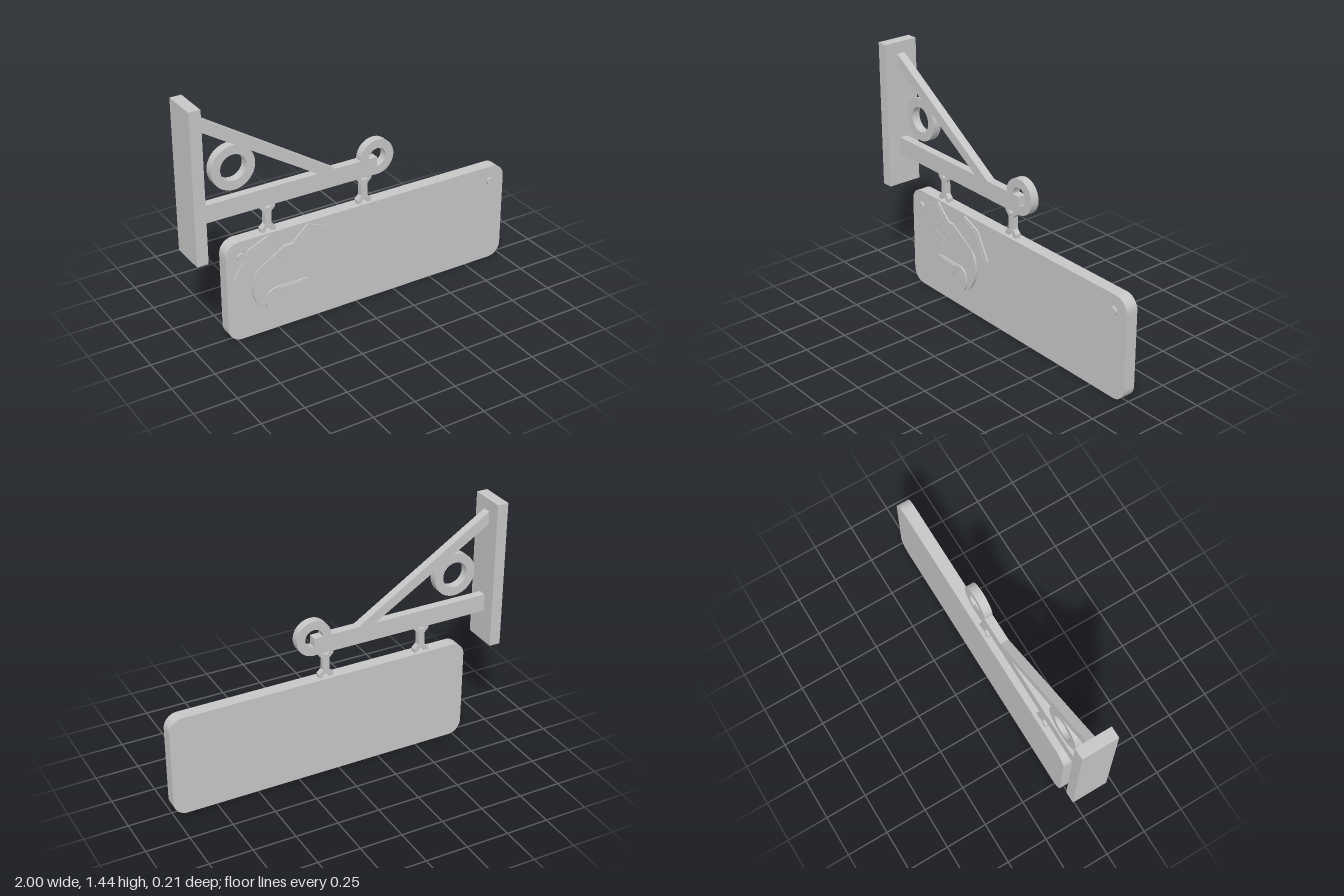
import * as THREE from 'three';

const BOARD_FRONT = 0.037;

// Closed outline from a list of corner points
const outline = (pts) => new THREE.Shape(pts.map(([x, y]) => new THREE.Vector2(x, y)));

function roundedRect(x0, y0, x1, y1, r) {
  const s = new THREE.Shape();
  s.absarc(x1 - r, y0 + r, r, -Math.PI / 2, 0, false);
  s.absarc(x1 - r, y1 - r, r, 0, Math.PI / 2, false);
  s.absarc(x0 + r, y1 - r, r, Math.PI / 2, Math.PI, false);
  s.absarc(x0 + r, y0 + r, r, Math.PI, Math.PI * 1.5, false);
  s.closePath();
  return s;
}

// Regular polygon ring; many sides make a round one
function ringShape(outer, inner, sides) {
  const loop = (r) => Array.from({ length: sides }, (_, i) => {
    const a = ((i + 0.5) / sides) * Math.PI * 2;
    return new THREE.Vector2(Math.cos(a) * r, Math.sin(a) * r);
  });
  const s = new THREE.Shape(loop(outer));
  s.holes.push(new THREE.Path(loop(inner).reverse()));
  return s;
}

export function createModel() {
  const model = new THREE.Group();
  model.name = 'hangingSign';
  const grey = new THREE.MeshStandardMaterial({ color: 0xc6c6c6 });
  grey.name = 'light grey';

  const add = (name, geometry, parent = model) => {
    const mesh = new THREE.Mesh(geometry, grey);
    mesh.name = name;
    parent.add(mesh);
    return mesh;
  };
  const slab = (name, shape, z0, z1, parent = model) => {
    const geo = new THREE.ExtrudeGeometry(shape, { depth: z1 - z0, bevelEnabled: false, curveSegments: 12 });
    geo.translate(0, 0, z0);
    return add(name, geo, parent);
  };
  const box = (name, x0, x1, y0, y1, halfDepth, parent = model) => {
    const geo = new THREE.BoxGeometry(x1 - x0, y1 - y0, halfDepth * 2);
    geo.translate((x0 + x1) / 2, (y0 + y1) / 2, 0);
    return add(name, geo, parent);
  };

  // Wall bracket
  const bracket = new THREE.Group();
  bracket.name = 'bracket';
  model.add(bracket);
  box('wallPlate', -1, -0.934, 0.573, 1.445, 0.105, bracket);
  box('beam', -0.934, 0.142, 0.762, 0.865, 0.025, bracket);
  slab('brace', outline([[-0.934, 1.3], [-0.232, 0.865], [-0.125, 0.865], [-0.934, 1.376]]), -0.025, 0.025, bracket);
  slab('braceRing', ringShape(0.127, 0.075, 40), -0.025, 0.025, bracket).position.set(-0.73, 1.038, 0);
  slab('endRing', ringShape(0.104, 0.053, 40), -0.025, 0.025, bracket).position.set(0.142, 0.865, 0);

  // Two hangers, each a short bar with an eye at both ends
  for (const x of [-0.533, 0.066]) {
    const hanger = new THREE.Group();
    hanger.name = 'hanger';
    hanger.position.x = x;
    model.add(hanger);
    box('hangerBar', -0.019, 0.019, 0.635, 0.732, 0.017, hanger);
    for (const y of [0.605, 0.762]) {
      slab('hangerEye', ringShape(0.047, 0.021, 8), -0.017, 0.017, hanger).position.y = y;
    }
  }

  // Sign board and its two pegs
  slab('board', roundedRect(-0.803, 0, 1, 0.603, 0.08), -0.037, BOARD_FRONT);
  for (const x of [-0.715, 0.908]) {
    const peg = new THREE.CylinderGeometry(0.024, 0.024, 0.014, 20);
    peg.rotateX(Math.PI / 2);
    add('peg', peg).position.set(x, 0.512, BOARD_FRONT + 0.006);
  }

  // Animal head in low relief, built about its own centre line
  const head = new THREE.Group();
  head.name = 'animalHead';
  head.position.x = -0.43;
  model.add(head);

  const face = new THREE.Shape();
  face.moveTo(0, 0.09);
  face.bezierCurveTo(0.1, 0.09, 0.225, 0.16, 0.225, 0.285);
  face.bezierCurveTo(0.225, 0.34, 0.21, 0.38, 0.19, 0.41);
  face.lineTo(0.03, 0.506);
  face.lineTo(-0.03, 0.506);
  face.lineTo(-0.19, 0.41);
  face.bezierCurveTo(-0.21, 0.38, -0.225, 0.34, -0.225, 0.285);
  face.bezierCurveTo(-0.225, 0.16, -0.1, 0.09, 0, 0.09);
  slab('face', face, BOARD_FRONT - 0.002, 0.052, head);

  const snout = new THREE.Shape();
  snout.moveTo(0, 0.094);
  snout.bezierCurveTo(0.07, 0.094, 0.153, 0.12, 0.153, 0.185);
  snout.bezierCurveTo(0.153, 0.24, 0.13, 0.272, 0.085, 0.272);
  snout.lineTo(-0.085, 0.272);
  snout.bezierCurveTo(-0.13, 0.272, -0.153, 0.24, -0.153, 0.185);
  snout.bezierCurveTo(-0.153, 0.12, -0.07, 0.094, 0, 0.094);
  slab('snout', snout, 0.05, 0.062, head);

  const nose = outline([[-0.035, 0.2], [0.035, 0.2], [0.06, 0.235], [0.065, 0.265], [-0.065, 0.265], [-0.06, 0.235]]);
  slab('nose', nose, 0.061, 0.068, head);
  slab('mouth', roundedRect(-0.08, 0.15, 0.08, 0.156, 0.002), 0.061, 0.063, head);

  // Folded ears, brows, wrinkles and eyes, mirrored left and right
  const ear = [[0.03, 0.51], [0.12, 0.594], [0.24, 0.545], [0.327, 0.389], [0.222, 0.389], [0.19, 0.41]];
  const earInset = [[0.07, 0.51], [0.125, 0.575], [0.225, 0.532], [0.297, 0.406], [0.215, 0.408]];
  const brow = [[0.02, 0.37], [0.03, 0.36], [0.15, 0.415], [0.145, 0.425]];
  const wrinkle = [[0.015, 0.41], [0.025, 0.405], [0.05, 0.475], [0.04, 0.48]];
  const eye = [[0.06, 0.33], [0.1, 0.32], [0.125, 0.34], [0.095, 0.355]];
  for (const side of [1, -1]) {
    const mirror = (pts) => outline(pts.map(([x, y]) => [x * side, y]));
    slab('ear', mirror(ear), BOARD_FRONT - 0.002, 0.047, head);
    slab('earInset', mirror(earInset), 0.046, 0.049, head);
    slab('brow', mirror(brow), 0.051, 0.0535, head);
    slab('wrinkle', mirror(wrinkle), 0.051, 0.0535, head);
    slab('eye', mirror(eye), 0.051, 0.0535, head);
  }

  return model;
}
